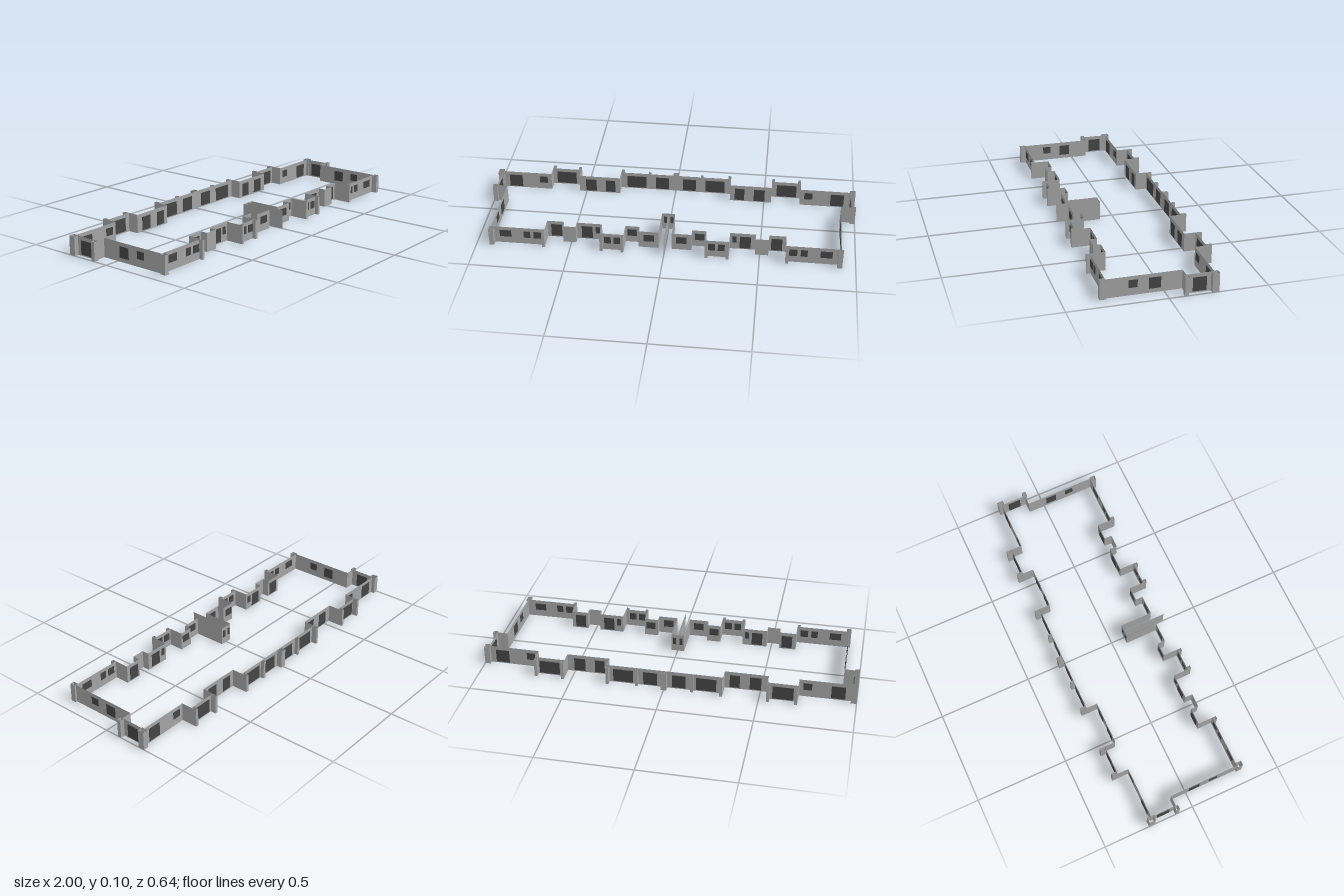
import * as THREE from 'three';
import { mergeGeometries } from 'three/addons/utils/BufferGeometryUtils.js';

const HEIGHT = 0.1;

// Upright sheets following a plan line of [x, z] points
function wallGeometry(points) {
  const sheets = [];
  for (let i = 0; i < points.length - 1; i++) {
    const [x0, z0] = points[i], [x1, z1] = points[i + 1];
    const sheet = new THREE.PlaneGeometry(Math.hypot(x1 - x0, z1 - z0), HEIGHT);
    sheet.rotateY(Math.atan2(z0 - z1, x1 - x0));
    sheet.translate((x0 + x1) / 2, HEIGHT / 2, (z0 + z1) / 2);
    sheets.push(sheet);
  }
  return mergeGeometries(sheets);
}

export function createModel() {
  const group = new THREE.Group();
  const wallMat = new THREE.MeshStandardMaterial({ color: 0xa3a3a3, side: THREE.DoubleSide });
  wallMat.name = 'wall grey';
  const glassMat = new THREE.MeshStandardMaterial({ color: 0x454545 });
  glassMat.name = 'dark glass';

  const add = (geometry, material, name) => {
    const mesh = new THREE.Mesh(geometry, material);
    mesh.name = name;
    group.add(mesh);
  };

  // Half of the outer wall in plan, from the middle of the back to the middle of the front
  const outline = [
    [0, -0.29], [0.31, -0.29], [0.31, -0.23], [0.54, -0.23], [0.54, -0.29], [0.7, -0.29],
    [0.7, -0.23], [0.975, -0.23], [0.975, -0.09], [0.92, -0.09], [0.92, 0.29], [0.635, 0.29],
    [0.635, 0.21], [0.545, 0.21], [0.545, 0.25], [0.475, 0.25], [0.475, 0.21], [0.34, 0.21],
    [0.34, 0.29], [0.215, 0.29], [0.215, 0.21], [0.14, 0.21], [0.14, 0.25], [0.035, 0.25],
    [0.035, 0.075], [0, 0.075],
  ];

  // Hollow pilasters: x0, x1, z0, z1
  const pilasters = [
    [0.0, 0.015, -0.32, -0.29], [0.14, 0.155, -0.31, -0.29], [0.295, 0.31, -0.32, -0.29],
    [0.54, 0.555, -0.32, -0.29], [0.685, 0.7, -0.32, -0.29],
    [0.97, 1, -0.25, -0.215], [0.975, 1, -0.098, -0.078],
    [0.905, 0.93, 0.29, 0.32], [0.635, 0.65, 0.29, 0.31],
    [0.325, 0.34, 0.29, 0.31], [0.215, 0.23, 0.29, 0.31],
  ];

  // Openings facing front or back: z, sill height, then pairs of x0, x1
  const TALL = 0.007, SMALL = 0.04;
  const openings = [
    [-0.29, TALL, [[0.04, 0.113], [0.168, 0.275], [0.568, 0.678]]],
    [-0.23, TALL, [[0.337, 0.39], [0.443, 0.503], [0.867, 0.94]]],
    [-0.23, SMALL, [[0.722, 0.767]]],
    [0.29, SMALL, [[0.815, 0.877], [0.713, 0.748], [0.653, 0.695], [0.282, 0.318], [0.228, 0.267]]],
    [0.25, SMALL, [[0.058, 0.113]]],
    [0.21, SMALL, [[0.155, 0.205], [0.353, 0.375]]],
    [0.21, TALL, [[0.392, 0.45], [0.557, 0.615]]],
    [0.075, SMALL, [[0.01, 0.026]]],
  ];

  // Openings in the end walls: x, sill height, z0, z1
  const sideOpenings = [
    [0.975, TALL, -0.193, -0.124], [0.92, 0.022, 0.016, 0.075], [0.92, SMALL, 0.132, 0.177],
  ];

  const TOP = 0.08, THIN = 0.005;
  for (const s of [1, -1]) {
    const side = s > 0 ? 'left' : 'right';
    add(wallGeometry(outline.map(([x, z]) => [s * x, z])), wallMat, side + 'OuterWall');

    for (const [x0, x1, z0, z1] of pilasters) {
      const loop = [[x0, z0], [x1, z0], [x1, z1], [x0, z1], [x0, z0]];
      add(wallGeometry(loop.map(([x, z]) => [s * x, z])), wallMat, side + 'Pilaster');
    }

    for (const [z, sill, spans] of openings) {
      for (const [x0, x1] of spans) {
        const pane = new THREE.BoxGeometry(x1 - x0, TOP - sill, THIN);
        pane.translate(s * (x0 + x1) / 2, (TOP + sill) / 2, z);
        add(pane, glassMat, side + (sill === TALL ? 'TallWindow' : 'Window'));
      }
    }

    for (const [x, sill, z0, z1] of sideOpenings) {
      const pane = new THREE.BoxGeometry(THIN, TOP - sill, z1 - z0);
      pane.translate(s * x, (TOP + sill) / 2, (z0 + z1) / 2);
      add(pane, glassMat, side + 'EndWindow');
    }
  }

  // Dividing wall in the middle of the front recess
  add(wallGeometry([[0, 0.075], [0, 0.31]]), wallMat, 'dividingWall');
  return group;
}
